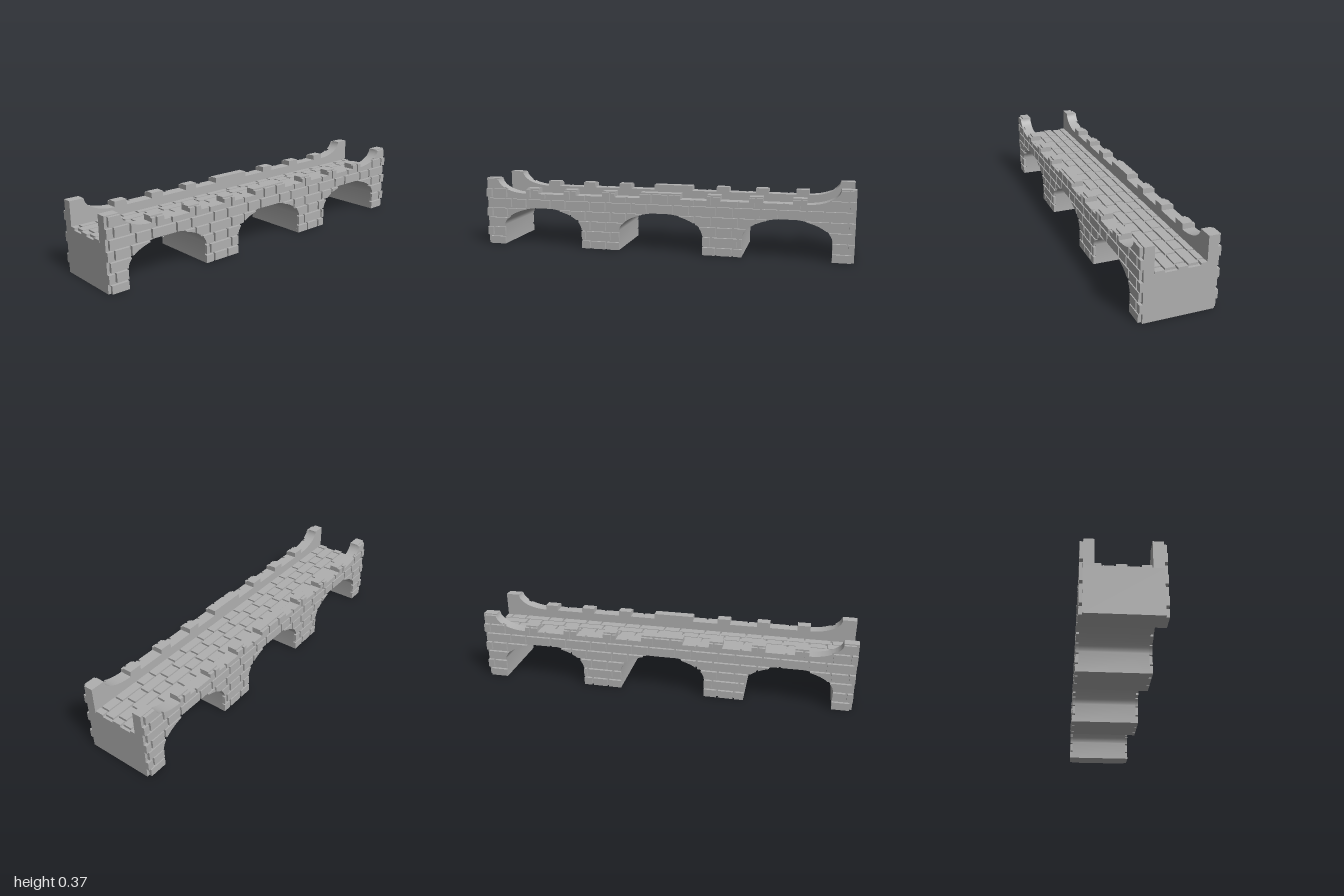
import * as THREE from 'three';
import { mergeGeometries, toCreasedNormals } from 'three/addons/utils/BufferGeometryUtils.js';

const ARCHES = [-0.668, 0, 0.664], ARCH_R = 0.228, SPRING = 0.1, RISE = 0.11;
const MERLONS = [[-0.76, -0.69], [-0.54, -0.47], [-0.32, -0.25], [-0.11, 0.11], [0.25, 0.32], [0.47, 0.54], [0.69, 0.76]];
const POST_X = 0.925, SWEEP_X = 0.76, WALL_Y = 0.29, MERLON_Y = 0.318, POST_Y = 0.37;
const EPS = 1e-4;

// Underside of the bridge at x: ground level at piers, curved over arches
function bottomAt(x) {
  for (const c of ARCHES) {
    const d = (x - c) / ARCH_R;
    if (Math.abs(d) < 1) return SPRING + RISE * Math.sqrt(1 - d * d);
  }
  return 0;
}

// Parapet top at x: end posts, concave sweeps, merlons, low wall
function topAt(x) {
  const a = Math.abs(x);
  if (a >= POST_X) return POST_Y;
  if (a > SWEEP_X) {
    const d = (a - SWEEP_X) / (POST_X - SWEEP_X);
    return POST_Y - (POST_Y - WALL_Y) * Math.sqrt(1 - d * d);
  }
  return MERLONS.some(([l, r]) => x >= l && x <= r) ? MERLON_Y : WALL_Y;
}

// Sample positions, dense where the outline curves and doubled at steps
const STATIONS = [];
for (const c of ARCHES) {
  for (let i = 1; i < 40; i++) STATIONS.push(c + ARCH_R * Math.cos(Math.PI * i / 40));
  for (const s of [-1, 1]) STATIONS.push(c + s * (ARCH_R - EPS / 10), c + s * (ARCH_R + EPS / 10));
}
for (const s of [-1, 1]) {
  for (let i = 0; i < 12; i++) STATIONS.push(s * (SWEEP_X + (POST_X - SWEEP_X) * Math.sin(Math.PI / 2 * i / 12)));
  STATIONS.push(s * (POST_X - EPS), s * POST_X);
}
for (const [l, r] of MERLONS) STATIONS.push(l - EPS, l + EPS, r - EPS, r + EPS);
STATIONS.sort((a, b) => a - b);

// Block of masonry trimmed to the bridge outline
function slab(x0, x1, y0, y1, z0, z1) {
  const xs = [x0, ...STATIONS.filter((x) => x > x0 + EPS / 2 && x < x1 - EPS / 2), x1];
  const out = [];
  let run = [];
  const flush = () => {
    if (run.length > 1 && run[run.length - 1][0] - run[0][0] > 0.004) {
      const pts = [...run.map(([x, b]) => new THREE.Vector2(x, b)),
        ...run.slice().reverse().map(([x, , t]) => new THREE.Vector2(x, t))];
      const g = new THREE.ExtrudeGeometry(new THREE.Shape(pts), { depth: z1 - z0, bevelEnabled: false });
      out.push(g.translate(0, 0, z0));
    }
    run = [];
  };
  for (const x of xs) {
    const b = Math.max(y0, bottomAt(x)), t = Math.min(y1, topAt(x));
    if (t - b > 0.002) run.push([x, b, t]);
    else flush();
  }
  flush();
  return out;
}

// Alternating long and short bricks along one course, as [start, end] pairs
function course(row) {
  const LONG = 0.132, SHORT = 0.078, GAP = 0.01, period = LONG + SHORT + 2 * GAP;
  const list = [];
  for (let i = -6; i <= 6; i++) {
    const c = i * period + (row % 2 ? period / 2 : 0);
    list.push([c - LONG / 2, c + LONG / 2], [c + LONG / 2 + GAP, c + LONG / 2 + GAP + SHORT]);
  }
  return list.map(([a, b]) => [Math.max(a, -1), Math.min(b, 1)]).filter(([a, b]) => b - a > 0.01);
}

export function createModel() {
  const group = new THREE.Group();
  group.name = 'stoneBridge';
  const stone = new THREE.MeshStandardMaterial({ color: 0xb0b0b0 });
  stone.name = 'grey stone';
  const add = (name, geos) => {
    const mesh = new THREE.Mesh(toCreasedNormals(mergeGeometries(geos), 0.5), stone);
    mesh.name = name;
    group.add(mesh);
  };

  // Arched core carrying the road
  add('archedCore', slab(-1, 1, 0, 0.233, -0.175, 0.175));

  // Parapets and the raised brickwork on both outer faces
  for (const [side, name] of [[1, 'front'], [-1, 'back']]) {
    const span = (a, b) => (side > 0 ? [a, b] : [-b, -a]);
    add(name + 'Parapet', slab(-1, 1, 0.233, POST_Y, ...span(0.126, 0.175)));
    const bricks = [];
    for (let row = 0; row < 7; row++) {
      const y0 = row ? 0.0485 + (row - 1) * 0.054 : 0;
      const y1 = 0.0405 + row * 0.054;
      for (const [a, b] of course(row)) bricks.push(...slab(a, b, y0, y1, ...span(0.175, 0.19)));
    }
    add(name + 'Bricks', bricks);
  }

  // Paving bricks on the road
  const paving = [];
  const rows = [[0.077, 0.122], [0.021, 0.07], [-0.034, 0.014], [-0.089, -0.041], [-0.126, -0.096]];
  rows.forEach(([z0, z1], row) => {
    for (const [a, b] of course(row + 1)) {
      const g = new THREE.BoxGeometry(b - a, 0.012, z1 - z0);
      paving.push(g.translate((a + b) / 2, 0.239, (z0 + z1) / 2));
    }
  });
  add('roadPaving', paving);
  return group;
}
